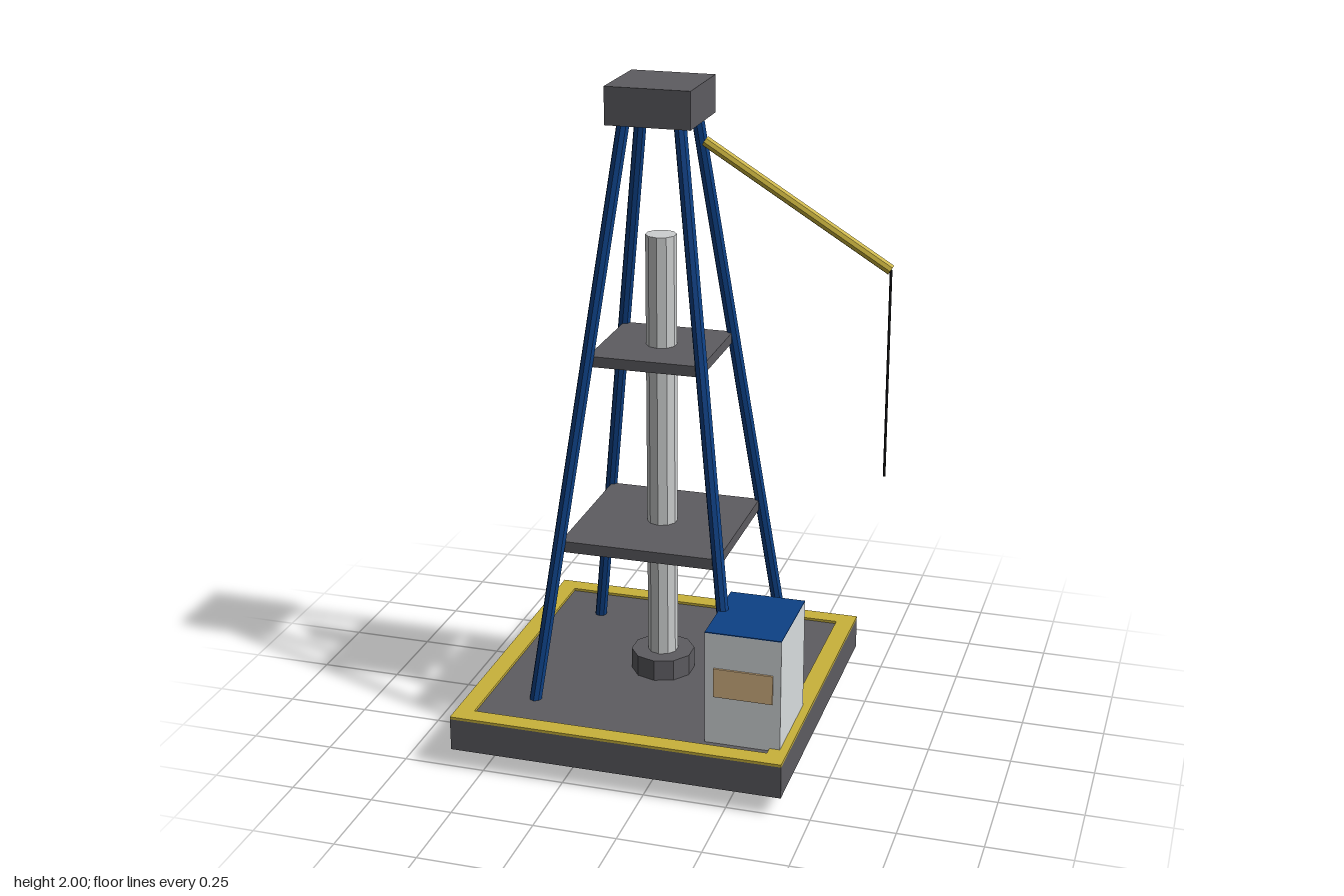
import * as THREE from 'three';

const CX = -0.092; // tower axis

function mat(name, color) {
  const m = new THREE.MeshStandardMaterial({ color });
  m.name = name;
  m.flatShading = true;
  return m;
}

export function createModel() {
  const root = new THREE.Group();
  root.name = 'drillTower';

  const darkGrey = mat('darkGrey', 0x5d5c61);
  const blue = mat('blue', 0x0d4186);
  const yellow = mat('yellow', 0xc9b23b);
  const steel = mat('steel', 0xcdcfd0);
  const white = mat('paleGrey', 0xd9dddf);
  const tan = mat('tan', 0xdcb988);
  const black = mat('black', 0x1c1c1e);

  const add = (name, geometry, material, parent = root) => {
    const mesh = new THREE.Mesh(geometry, material);
    mesh.name = name;
    parent.add(mesh);
    return mesh;
  };
  const box = (name, w, h, d, x, y, z, material, parent) => {
    const mesh = add(name, new THREE.BoxGeometry(w, h, d), material, parent);
    mesh.position.set(x, y, z);
    return mesh;
  };
  // Straight round bar between two points
  const bar = (name, a, b, radius, sides, material, parent) => {
    const dir = b.clone().sub(a);
    const mesh = add(name, new THREE.CylinderGeometry(radius, radius, dir.length(), sides), material, parent);
    mesh.position.copy(a).add(b).multiplyScalar(0.5);
    mesh.quaternion.setFromUnitVectors(new THREE.Vector3(0, 1, 0), dir.normalize());
    return mesh;
  };
  const v = (x, y, z) => new THREE.Vector3(x, y, z);

  // Tower parts, centred on the tower axis
  const tower = new THREE.Group();
  tower.name = 'tower';
  tower.position.x = CX;
  root.add(tower);

  // Platform with a yellow safety border
  box('platform', 1.012, 0.1, 1.012, 0, 0.11, 0, darkGrey, tower);
  const border = new THREE.Group();
  border.name = 'safetyBorder';
  tower.add(border);
  for (const s of [-1, 1]) {
    box('borderLong', 1.012, 0.008, 0.056, 0, 0.164, s * 0.478, yellow, border);
    box('borderShort', 0.056, 0.008, 0.9, s * 0.478, 0.164, 0, yellow, border);
  }

  // Four legs leaning in to the crown
  for (const sx of [-1, 1]) for (const sz of [-1, 1]) {
    bar('leg', v(sx * 0.309, 0.155, sz * 0.309), v(sx * 0.08, 1.92, sz * 0.08), 0.019, 8, blue, tower);
  }

  // Crown block and two decks
  box('crown', 0.252, 0.11, 0.252, 0, 1.945, 0, darkGrey, tower);
  box('lowerDeck', 0.482, 0.034, 0.482, 0, 0.64, 0, darkGrey, tower);
  box('upperDeck', 0.342, 0.032, 0.342, 0, 1.203, 0, darkGrey, tower);

  // Drill pipe and the collar it passes through
  bar('drillPipe', v(0, 0.2, 0), v(0, 1.553, 0), 0.046, 10, steel, tower);
  bar('collar', v(0, 0, 0), v(0, 0.226, 0), 0.097, 10, darkGrey, tower);

  // Crane boom with hanging cable
  bar('boom', v(0.04, 1.835, 0), v(0.585, 1.5, 0), 0.016, 8, yellow);
  bar('cable', v(0.585, 0.876, 0), v(0.585, 1.5, 0), 0.004, 6, black);

  // Control cabin with roof plate and front panel
  const cabin = new THREE.Group();
  cabin.name = 'controlCabin';
  root.add(cabin);
  box('cabinBody', 0.226, 0.35, 0.282, 0.276, 0.335, 0.281, white, cabin);
  box('cabinRoof', 0.226, 0.003, 0.282, 0.276, 0.5115, 0.281, blue, cabin);
  box('cabinPanel', 0.175, 0.09, 0.006, 0.278, 0.357, 0.425, tan, cabin);

  return root;
}
